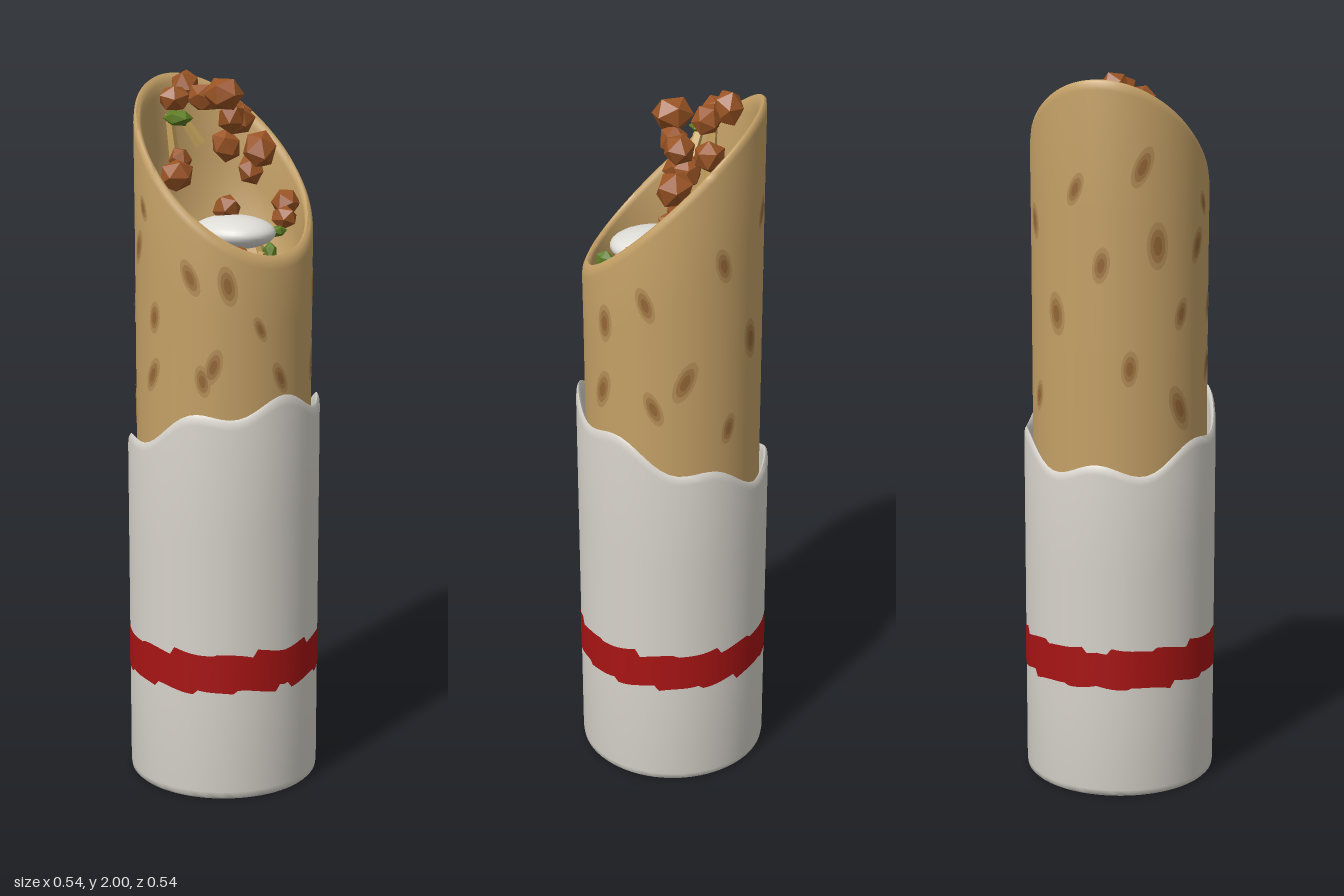
import * as THREE from 'three';
import { mergeVertices, toCreasedNormals } from 'three/addons/utils/BufferGeometryUtils.js';

const mat = (color, extra = {}) => {
  const m = new THREE.MeshStandardMaterial({ color });
  return Object.assign(m, extra);
};
const V2 = (list) => list.map(([x, y]) => new THREE.Vector2(x, y));

// Move every vertex by a rule, then rebuild seamless normals
function shape(geometry, rule, crease) {
  const p = geometry.attributes.position;
  const v = new THREE.Vector3();
  for (let i = 0; i < p.count; i++) {
    rule(v.fromBufferAttribute(p, i));
    p.setXYZ(i, v.x, v.y, v.z);
  }
  geometry.deleteAttribute('uv');
  geometry.deleteAttribute('normal');
  const merged = mergeVertices(geometry, 1e-5);
  merged.computeVertexNormals();
  return crease ? toCreasedNormals(merged, crease) : merged;
}

export function createModel() {
  const model = new THREE.Group();
  model.name = 'wrapSandwich';
  const add = (name, geometry, material, parent = model) => {
    const mesh = new THREE.Mesh(geometry, material);
    mesh.name = name;
    parent.add(mesh);
    return mesh;
  };
  const group = (name) => {
    const g = new THREE.Group();
    g.name = name;
    model.add(g);
    return g;
  };

  // Paper sleeve: closed bottom, wavy sloping rim
  const rim = (a) => 1.035 + 0.1 * Math.cos(a) + 0.022 * Math.cos(6 * a);
  const sleeve = new THREE.LatheGeometry(V2([
    [0, 0], [0.262, 0], [0.268, 0.006], [0.27, 0.02], [0.27, 0.3], [0.27, 0.7], [0.27, 0.975],
    [0.268, 0.992], [0.263, 1], [0.257, 0.992], [0.255, 0.975], [0.255, 0.5], [0.255, 0.03], [0, 0.03],
  ]), 72);
  add('paperSleeve', shape(sleeve, (v) => {
    v.y *= rim(Math.atan2(v.z, v.x));
  }, 0.9), mat(0xd6d2ca));

  // Red stripe with ragged edges
  const saw = (t) => t - Math.floor(t) - 0.5;
  const stripe = new THREE.CylinderGeometry(0.2715, 0.2715, 0.11, 120, 1, true);
  add('redStripe', shape(stripe, (v) => {
    const a = Math.abs(Math.atan2(v.z, v.x)) / Math.PI;
    const ragged = v.y > 0 ? 0.026 * saw(a * 7 + 0.3) : 0.026 * saw(a * 7 + 0.8);
    v.y += 0.375 + ragged * (0.6 + 0.4 * Math.sin(a * 20));
  }), mat(0xa81414));

  // Flatbread tube: rolled rim cut on a slant, hollow top with a floor
  const bread = new THREE.LatheGeometry(V2([
    [0, 0.04], [0.24, 0.04], [0.245, 0.06], [0.245, 0.9], [0.245, 1.2], [0.245, 1.5], [0.246, 1.73],
    [0.244, 1.748], [0.238, 1.757], [0.23, 1.757], [0.224, 1.748], [0.221, 1.73], [0.219, 1.6],
    [0.214, 1.46], [0.19, 1.42], [0.1, 1.4], [0, 1.4],
  ]), 96);
  const breadMaterial = mat(0xc4a066);
  add('flatbread', shape(bread, (v) => {
    const w = THREE.MathUtils.clamp((v.y - 1) / 0.75, 0, 1);
    v.y -= 0.97 * v.x * w;
  }, 1.0), breadMaterial);

  // Toasted spots curved onto the bread: angle from +x toward +z in degrees, height, size
  const spots = group('toastedSpots');
  const spotList = [
    [142, 1.55, 1.3], [108, 1.54, 1], [60, 1.48, 1], [124, 1.36, 0.9], [88, 1.36, 0.9],
    [125, 1.1, 1.3], [90, 1.2, 1], [52, 1.2, 0.9], [36, 1.46, 1.1], [152, 1.76, 1.1],
    [100, 1.65, 0.7], [160, 1.22, 1], [45, 1.24, 1], [0, 1.2, 0.9], [-42, 1.22, 1.2],
    [-45, 1.42, 1.1], [-75, 1.5, 1], [-100, 1.28, 1.2], [-125, 1.6, 1], [-150, 1.36, 1.2],
    [-165, 1.7, 0.9], [-80, 1.2, 1], [178, 1.5, 1], [-130, 1.12, 0.9], [15, 1.34, 0.7],
  ];
  const spotMaterials = [mat(0xb48e57), mat(0xa37845), mat(0x946636)];
  spotList.forEach(([deg, y, size], i) => {
    spotMaterials.forEach((material, layer) => {
      const s = size * (1 - 0.3 * layer);
      const tilt = Math.sin(i * 2.3) * 0.35;
      const patch = new THREE.RingGeometry(0.0001, 1, 16, 3);
      add('toastedSpot', shape(patch, (v) => {
        const along = v.x * 0.024 * s + v.y * 0.05 * s * tilt;
        const a = THREE.MathUtils.degToRad(deg) - along / 0.245;
        const r = 0.2464 + 0.0004 * layer;
        v.set(r * Math.cos(a), y + v.y * 0.05 * s, r * Math.sin(a));
      }), material, spots);
    });
  });

  // White sauce: one large dollop over a flatter pool
  const sauceMaterial = mat(0xdedcd6);
  const dollop = (name, x, y, z, sx, sy, sz) => {
    const m = add(name, new THREE.SphereGeometry(1, 32, 20), sauceMaterial);
    m.position.set(x, y, z);
    m.scale.set(sx, sy, sz);
  };
  dollop('sauceDollop', 0.045, 1.575, 0, 0.125, 0.045, 0.107);
  dollop('saucePool', -0.015, 1.43, 0.02, 0.125, 0.05, 0.115);

  // Faceted chunks: x, y, z, radius
  const chunks = (name, material, list, squash) => {
    const g = group(name);
    list.forEach(([x, y, z, r], i) => {
      const m = add(name + 'Piece', new THREE.IcosahedronGeometry(r, 0), material, g);
      m.position.set(x, y, z);
      m.rotation.set(i * 1.1, i * 0.7 + 0.4, i * 0.5);
      m.scale.set(1.08, squash, 0.92);
    });
  };
  chunks('friedChunks', mat(0x9a5424, { flatShading: true }), [
    [0, 1.945, 0, 0.054], [-0.005, 1.88, -0.03, 0.044], [-0.02, 1.87, -0.065, 0.048],
    [-0.145, 1.955, 0.02, 0.048], [-0.09, 1.93, 0.0, 0.046], [-0.11, 1.93, 0.085, 0.043],
    [-0.1, 1.87, -0.12, 0.049], [-0.01, 1.785, -0.135, 0.055], [-0.03, 1.73, -0.12, 0.045],
    [-0.04, 1.8, -0.04, 0.046], [-0.01, 1.735, 0.155, 0.05], [-0.045, 1.77, 0.115, 0.036],
    [0.05, 1.64, -0.18, 0.045], [0.085, 1.605, -0.145, 0.038], [0.0, 1.63, -0.01, 0.045],
    [0.145, 1.53, 0.055, 0.025],
  ], 0.9);
  chunks('greenPieces', mat(0x5c7c22, { flatShading: true }), [
    [-0.08, 1.88, 0.095, 0.04], [0.18, 1.53, -0.015, 0.032], [0.09, 1.57, -0.115, 0.028],
  ], 0.6);

  // Pale strips tucked among the chunks
  const strips = group('paleStrips');
  [[-0.1, 1.81, 0.1, 0.16, 0.1], [0.175, 1.5, 0.025, 0.08, -0.3], [0.11, 1.5, -0.05, 0.09, 0.25],
    [-0.06, 1.85, 0.07, 0.1, 0.5]].forEach(([x, y, z, length, lean]) => {
    const m = add('paleStrip', new THREE.CylinderGeometry(0.012, 0.017, length, 5),
      mat(0xc8a45c, { flatShading: true }), strips);
    m.position.set(x, y, z);
    m.rotation.set(lean, 0, lean * 0.6);
  });

  return model;
}
